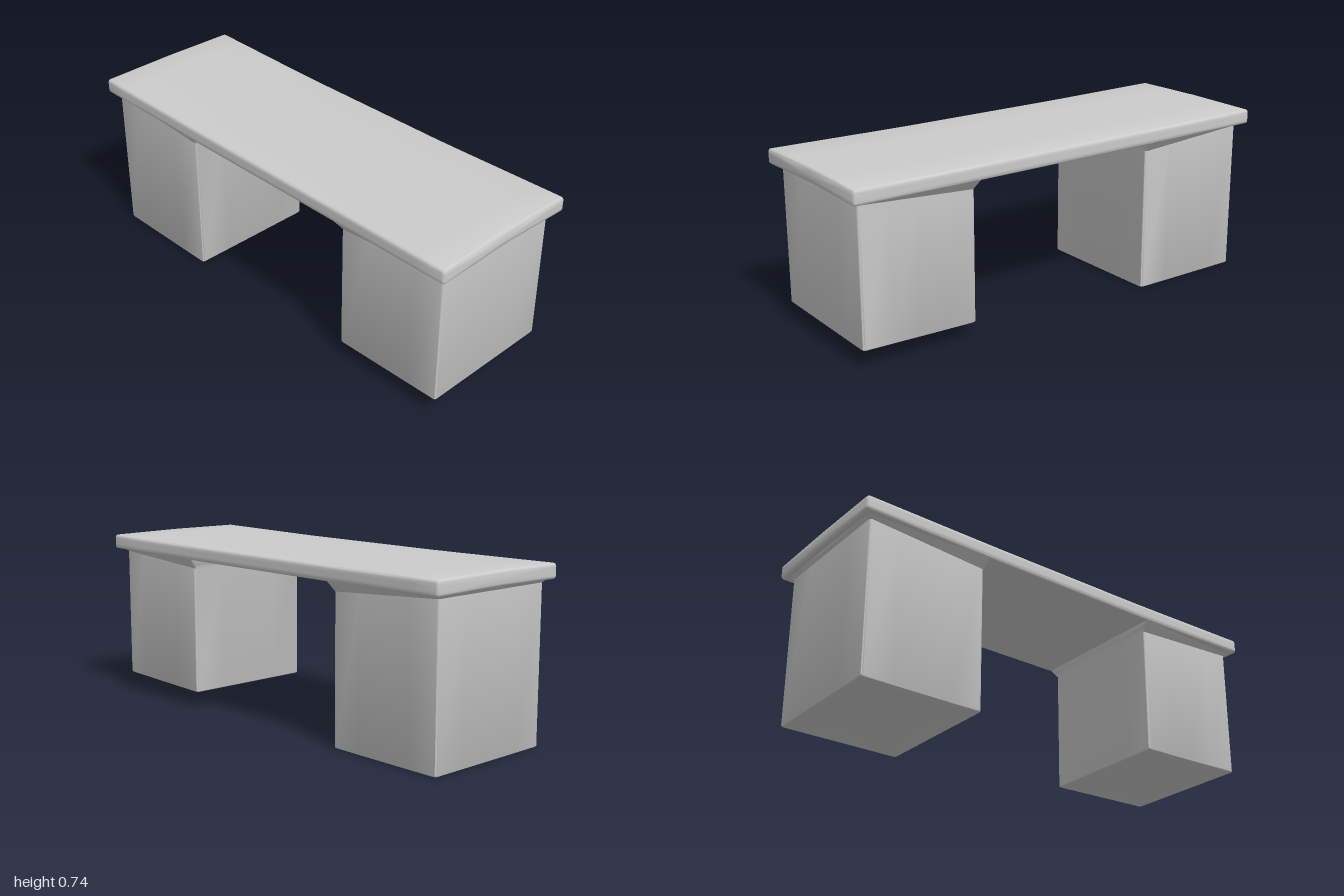
import * as THREE from 'three';
import { toCreasedNormals } from 'three/addons/utils/BufferGeometryUtils.js';

const material = new THREE.MeshStandardMaterial({ color: 0xcccccc });
const lerp = THREE.MathUtils.lerp;

// Counter-clockwise rounded rectangle; every side is divided into `div` pieces.
function roundedRect(u0, u1, v0, v1, r, div = 4, seg = 3) {
  const pts = [];
  const corners = [[u1 - r, v0 + r], [u1 - r, v1 - r], [u0 + r, v1 - r], [u0 + r, v0 + r]];
  corners.forEach(([cu, cv], c) => {
    for (let i = 0; i <= seg; i++) {
      const a = (c - 1 + i / seg) * Math.PI / 2;
      pts.push([cu + r * Math.cos(a), cv + r * Math.sin(a)]);
    }
    const from = pts[pts.length - 1];
    const [nu, nv] = corners[(c + 1) % 4];
    const b = c * Math.PI / 2;
    const to = [nu + r * Math.cos(b), nv + r * Math.sin(b)];
    for (let i = 1; i < div; i++) {
      pts.push([lerp(from[0], to[0], i / div), lerp(from[1], to[1], i / div)]);
    }
  });
  return pts;
}

// Skin a stack of equal-sized rings of Vector3 and close both ends.
function loft(name, rings) {
  const n = rings[0].length;
  const pos = [], index = [];
  rings.forEach(ring => ring.forEach(p => pos.push(p.x, p.y, p.z)));
  for (let k = 0; k < rings.length - 1; k++) {
    for (let i = 0; i < n; i++) {
      const a = k * n + i, b = k * n + (i + 1) % n;
      index.push(a, b, b + n, a, b + n, a + n);
    }
  }
  [0, rings.length - 1].forEach(k => {
    const c = new THREE.Vector3();
    rings[k].forEach(p => c.addScaledVector(p, 1 / n));
    const centre = pos.length / 3;
    pos.push(c.x, c.y, c.z);
    for (let i = 0; i < n; i++) {
      const a = k * n + i, b = k * n + (i + 1) % n;
      if (k === 0) index.push(centre, b, a);
      else index.push(centre, a, b);
    }
  });
  const geo = new THREE.BufferGeometry();
  geo.setAttribute('position', new THREE.Float32BufferAttribute(pos, 3));
  geo.setIndex(index);
  const mesh = new THREE.Mesh(toCreasedNormals(geo, 0.6), material);
  mesh.name = name;
  return mesh;
}

// Seat slab: slightly bowed along its length, crowned at the ends.
function createSeat() {
  const r = 0.012;
  const stations = [];
  for (let i = 0; i <= 3; i++) {
    const a = i / 3 * Math.PI / 2;
    stations.push([-1 + r * (1 - Math.sin(a)), r * (1 - Math.sin(a))]);
    stations[i] = [-1 + r * (1 - Math.cos(a)), r * (1 - Math.sin(a))];
  }
  for (let i = 1; i < 16; i++) stations.push([lerp(-1 + r, 1 - r, i / 16), 0]);
  for (let i = 3; i >= 0; i--) stations.push([-stations[i][0], stations[i][1]]);

  return loft('seat', stations.map(([z, inset]) => {
    const lift = Math.max(0, (Math.abs(z) - 0.4) / 0.6);
    const left = 0.336 + 0.01 * lift;
    const right = -0.342 - (z > 0 ? 0.006 * lift : 0);
    return roundedRect(right + inset, left - inset, 0.664 + inset, 0.728 - inset, r - inset + 0.001)
      .map(([x, y]) => {
        const crown = 1 - Math.abs(x) / 0.345;
        return new THREE.Vector3(x, y + lift * (0.005 + 0.004 * crown),
          z - (z > 0.98 ? 0.006 * crown : 0));
      });
  }));
}

// Block leg whose top flares into the seat, most strongly on the inner side.
function createLeg(name, zOuter, zInner, yOuter, yInner) {
  const z0 = Math.min(zOuter, zInner), z1 = Math.max(zOuter, zInner);
  const outward = Math.sign(zOuter);
  const ring = (inset, height) =>
    roundedRect(-0.304 + inset, 0.299 - inset, -z1 + inset, -z0 - inset, 0.01)
      .map(([x, v]) => {
        const t = THREE.MathUtils.clamp((-v - zOuter) / (zInner - zOuter), 0, 1);
        return height(x, -v, t);
      });
  const bottom = (inset, up) => ring(inset, (x, z, t) =>
    new THREE.Vector3(x, lerp(yOuter, yInner, t) + up, z));
  const flare = (s, y) => ring(0, (x, z, t) => {
    const spread = lerp(0.012, 0.036, t) * s;
    return new THREE.Vector3(
      x * (1 + spread / 0.3),
      y ?? lerp(0.657, 0.624, t) + (0.669 - lerp(0.657, 0.624, t)) * s,
      z + outward * lerp(0.012, -0.014, t) * s);
  });
  return loft(name, [
    bottom(0.006, 0), bottom(0.002, 0.002), bottom(0, 0.006),
    flare(0), flare(0.4), flare(1), flare(1, 0.69),
  ]);
}

export function createModel() {
  const model = new THREE.Group();
  model.name = 'bench';
  model.add(
    createSeat(),
    createLeg('frontLeg', 0.962, 0.45, 0.08, 0.067),
    createLeg('backLeg', -0.963, -0.43, 0, 0),
  );
  return model;
}
